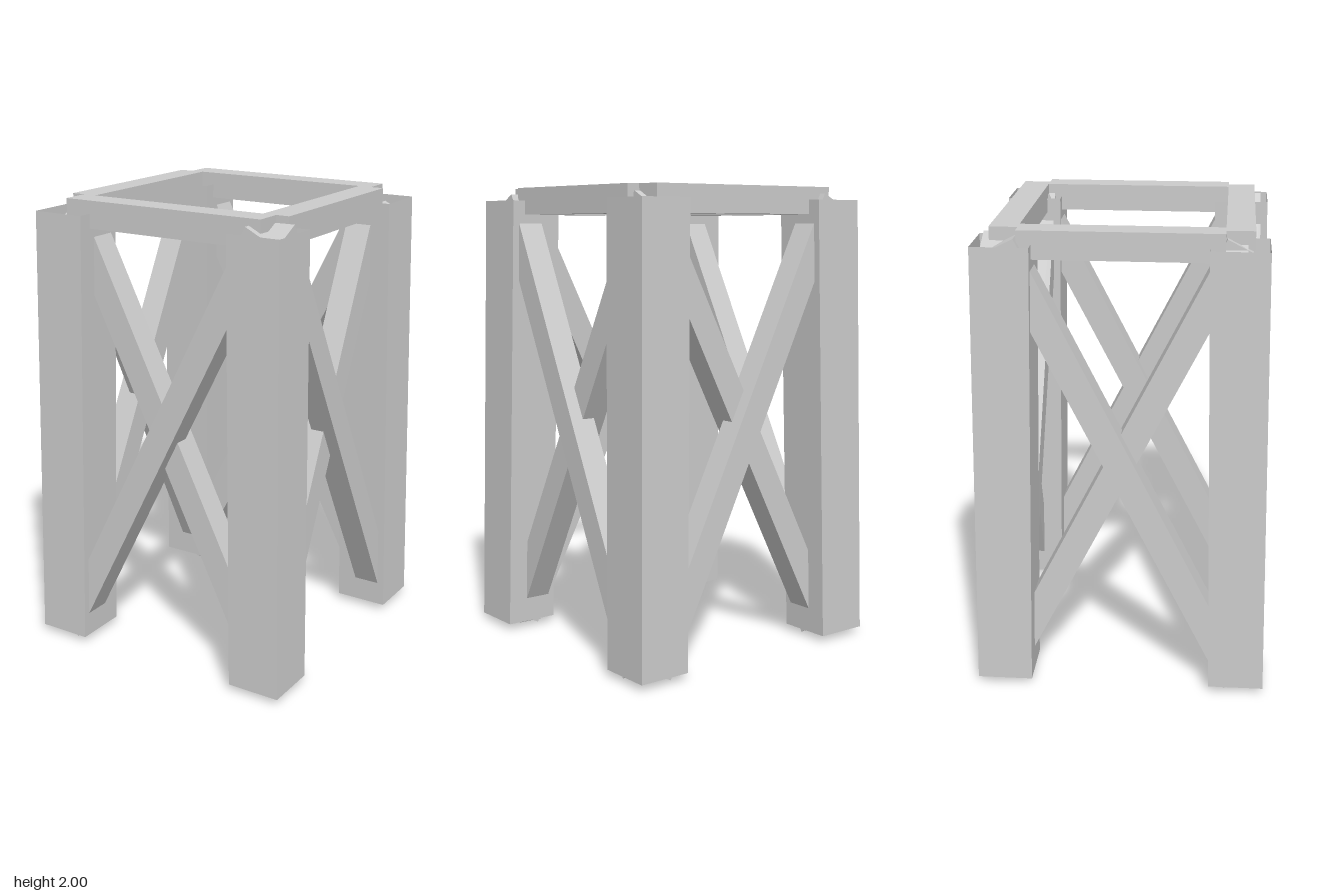
import * as THREE from 'three';

const BEAM = 0.116;                     // square section of beams and braces
const LEG = 0.235;                      // square section of the legs
const FOOT = { y: 0.03, r: 0.5025 };    // leg axis at the bottom
const HEAD = { y: 1.945, r: 0.4675 };   // leg axis at the top

const solid = new THREE.MeshStandardMaterial({ color: 0xcccccc, flatShading: true });
const sheet = new THREE.MeshStandardMaterial({ color: 0xcccccc, flatShading: true, side: THREE.DoubleSide });

function addMesh(parent, name, geometry, material = solid) {
  const mesh = new THREE.Mesh(geometry, material);
  mesh.name = name;
  parent.add(mesh);
  return mesh;
}

// Open square tube, sheared so that it leans inwards towards the top
function legGeometry(sx, sz) {
  const h = HEAD.y - FOOT.y;
  const g = new THREE.CylinderGeometry(LEG / Math.SQRT2, LEG / Math.SQRT2, h, 4, 1, true);
  g.rotateY(Math.PI / 4);
  const p = g.attributes.position;
  for (let i = 0; i < p.count; i++) {
    const t = p.getY(i) / h + 0.5;
    const r = THREE.MathUtils.lerp(FOOT.r, HEAD.r, t);
    p.setXYZ(i, p.getX(i) + sx * r, FOOT.y + t * h, p.getZ(i) + sz * r);
  }
  g.computeVertexNormals();
  return g;
}

// Square bar between two points, with one face turned to the given outward direction
function braceGeometry(a, b, outward) {
  const axis = b.clone().sub(a);
  const g = new THREE.BoxGeometry(BEAM, axis.length(), BEAM);
  axis.normalize();
  const out = outward.clone().addScaledVector(axis, -outward.dot(axis)).normalize();
  const across = new THREE.Vector3().crossVectors(axis, out);
  const m = new THREE.Matrix4().makeBasis(across, axis, out);
  m.setPosition(a.clone().add(b).multiplyScalar(0.5));
  return g.applyMatrix4(m);
}

export function createModel() {
  const model = new THREE.Group();
  model.name = 'crossBracedStand';

  // Four hollow leaning legs
  const legs = new THREE.Group();
  legs.name = 'legs';
  model.add(legs);
  for (const sx of [-1, 1]) {
    for (const sz of [-1, 1]) addMesh(legs, 'leg', legGeometry(sx, sz), sheet);
  }

  // Top frame: long beams front and back, shorter ones fitted between them
  const frame = new THREE.Group();
  frame.name = 'topFrame';
  model.add(frame);
  const y = 2 - BEAM / 2;
  for (const s of [-1, 1]) {
    addMesh(frame, 'longBeam', new THREE.BoxGeometry(2 * HEAD.r, BEAM, BEAM)).position.set(0, y, s * HEAD.r);
    addMesh(frame, 'shortBeam', new THREE.BoxGeometry(BEAM, BEAM, 2 * HEAD.r - BEAM)).position.set(s * HEAD.r, y, 0);
  }

  // Crossed braces on each side, half lapped: one set outwards, one inwards.
  // foot is the end of the side where the outer brace starts.
  const sides = [
    { name: 'front', out: [0, 0, 1], foot: [-1, 0, 0] },
    { name: 'left', out: [1, 0, 0], foot: [0, 0, -1] },
    { name: 'back', out: [0, 0, -1], foot: [1, 0, 0] },
    { name: 'right', out: [-1, 0, 0], foot: [0, 0, 1] },
  ];
  for (const side of sides) {
    const group = new THREE.Group();
    group.name = side.name + 'Braces';
    model.add(group);
    const out = new THREE.Vector3(...side.out);
    const foot = new THREE.Vector3(...side.foot);
    const point = (end, dir, shift) => new THREE.Vector3(0, end.y, 0)
      .addScaledVector(foot, dir * end.r)
      .addScaledVector(out, end.r + shift);
    for (const s of [1, -1]) {
      const shift = s * BEAM / 4;
      addMesh(group, s > 0 ? 'outerBrace' : 'innerBrace',
        braceGeometry(point(FOOT, s, shift), point(HEAD, -s, shift), out));
    }
  }
  return model;
}
